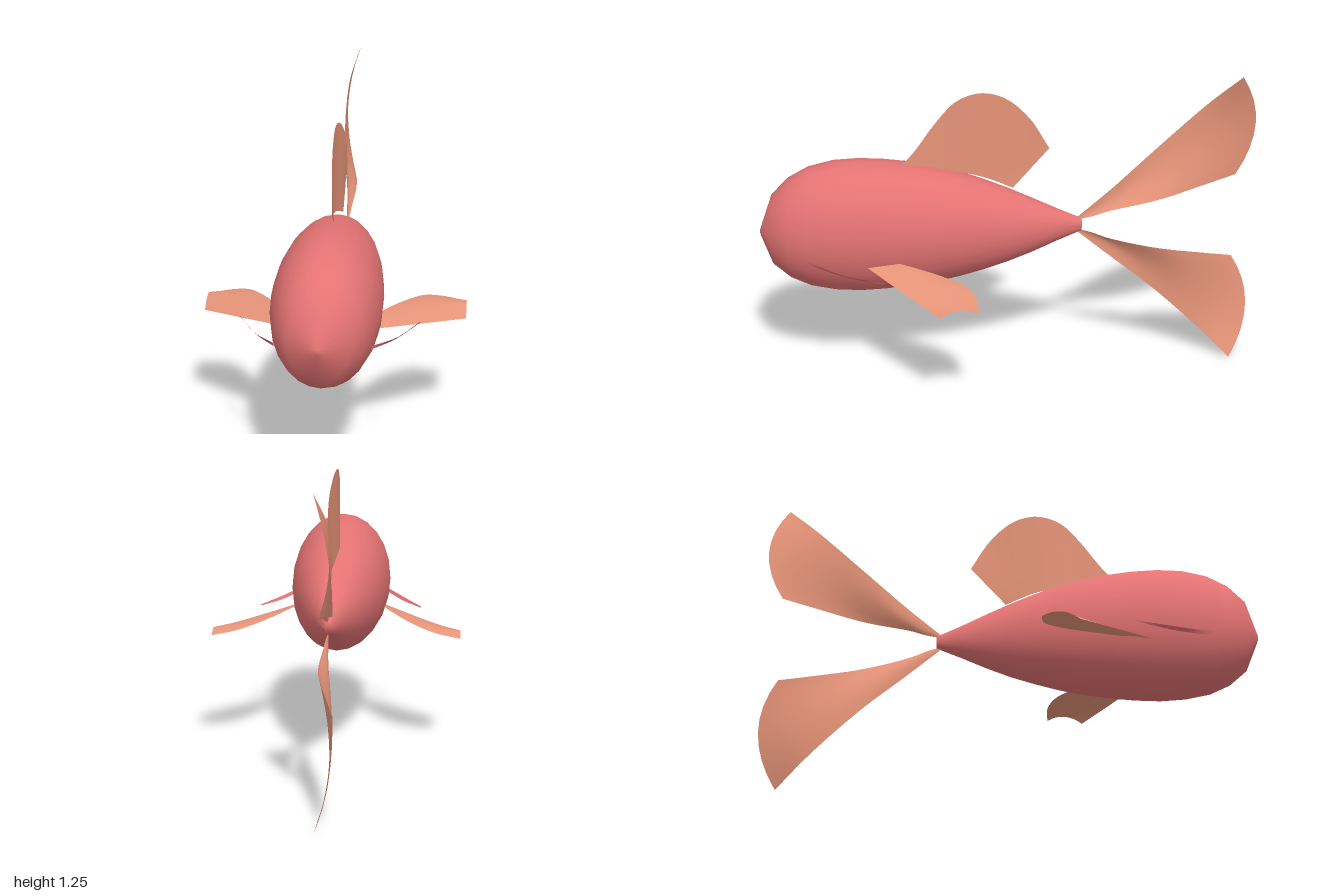
import * as THREE from 'three';

const V = (p) => new THREE.Vector3(...p);

// Thin surface stretched between two edge curves and bowed across its width
function sheet(edgeA, edgeB, bow, along = 24, across = 8) {
  const a = new THREE.CatmullRomCurve3(edgeA.map(V));
  const b = new THREE.CatmullRomCurve3(edgeB.map(V));
  const pos = [], idx = [];
  for (let i = 0; i <= along; i++) {
    const t = i / along, pa = a.getPoint(t), pb = b.getPoint(t);
    for (let j = 0; j <= across; j++) {
      const v = j / across, k = 4 * v * (1 - v) * t;
      const p = pa.clone().lerp(pb, v).addScaledVector(V(bow), k);
      pos.push(p.x, p.y, p.z);
      if (i < along && j < across) {
        const q = i * (across + 1) + j, r = q + across + 1;
        idx.push(q, r, q + 1, q + 1, r, r + 1);
      }
    }
  }
  return makeGeometry(pos, idx);
}

function makeGeometry(pos, idx) {
  const g = new THREE.BufferGeometry();
  g.setAttribute('position', new THREE.Float32BufferAttribute(pos, 3));
  g.setIndex(idx);
  g.computeVertexNormals();
  return g;
}

// Body from elliptical rings: z, centre height, half height, half width
function bodyGeometry() {
  const rings = [
    [1, 0.627, 0.01, 0.01], [0.95, 0.636, 0.145, 0.118], [0.88, 0.641, 0.21, 0.164],
    [0.8, 0.645, 0.25, 0.19], [0.7, 0.648, 0.272, 0.206], [0.6, 0.648, 0.278, 0.21],
    [0.5, 0.648, 0.273, 0.208], [0.4, 0.647, 0.262, 0.201], [0.3, 0.645, 0.245, 0.19],
    [0.2, 0.643, 0.222, 0.173], [0.1, 0.639, 0.191, 0.15], [0, 0.635, 0.155, 0.123],
    [-0.1, 0.632, 0.113, 0.09], [-0.2, 0.631, 0.068, 0.052], [-0.3, 0.63, 0.026, 0.016],
  ];
  const n = 24, pos = [], idx = [];
  rings.forEach(([z, cy, ry, rx], i) => {
    for (let j = 0; j < n; j++) {
      const t = (j / n) * Math.PI * 2;
      pos.push(Math.cos(t) * rx, cy + Math.sin(t) * ry, z);
      if (i < rings.length - 1) {
        const a = i * n + j, b = i * n + (j + 1) % n;
        idx.push(a, a + n, b, b, a + n, b + n);
      }
    }
  });
  // close nose and tail end
  const last = (rings.length - 1) * n;
  for (let j = 1; j < n - 1; j++) {
    idx.push(0, j, j + 1, last, last + j + 1, last + j);
  }
  return makeGeometry(pos, idx);
}

export function createModel() {
  const model = new THREE.Group();
  const skin = new THREE.MeshStandardMaterial({ color: 0xe57373, side: THREE.DoubleSide });
  skin.name = 'skin red';
  const fin = new THREE.MeshStandardMaterial({ color: 0xe9967a, side: THREE.DoubleSide });
  fin.name = 'fin salmon';
  const add = (name, geometry, material) => {
    const mesh = new THREE.Mesh(geometry, material);
    mesh.name = name;
    model.add(mesh);
  };

  add('body', bodyGeometry(), skin);

  // Wavy fin on the back
  add('dorsalFin', sheet(
    [[0.01, 0.91, 0.42], [0, 0.965, 0.37], [-0.01, 1.08, 0.285], [-0.012, 1.165, 0.205],
      [-0.01, 1.2, 0.107], [0, 1.18, 0.01], [0.012, 1.1, -0.085], [0.012, 0.97, -0.165]],
    [[0.01, 0.9, 0.42], [-0.008, 0.88, 0.3], [-0.015, 0.862, 0.19], [-0.008, 0.84, 0.09],
      [0.008, 0.8, -0.02]],
    [0, 0, 0]), fin);

  // Two twisted tail lobes, mirrored about the body axis
  for (const s of [1, -1]) {
    const m = ([x, y, z]) => [x, 0.63 + s * (y - 0.63), z];
    add(s > 0 ? 'upperTailFin' : 'lowerTailFin', sheet(
      [[0, 0.66, -0.28], [-0.008, 0.78, -0.42], [-0.035, 0.94, -0.6], [-0.03, 1.13, -0.8],
        [0.01, 1.255, -0.93]].map(m),
      [[0, 0.65, -0.28], [0.006, 0.665, -0.34], [0.012, 0.69, -0.41], [0.018, 0.735, -0.6],
        [-0.025, 0.782, -0.8], [-0.058, 0.812, -0.93]].map(m),
      [-0.025, 0, -0.07]), fin);
  }

  // Arched side fins and slim feelers on both sides
  for (const s of [1, -1]) {
    const side = s > 0 ? 'left' : 'right';
    const m = ([x, y, z]) => [s * x, y, z];
    add(side + 'SideFin', sheet(
      [[0.17, 0.548, 0.585], [0.34, 0.514, 0.44], [0.517, 0.478, 0.285]].map(m),
      [[0.17, 0.562, 0.48], [0.225, 0.553, 0.37], [0.285, 0.542, 0.265], [0.35, 0.53, 0.18],
        [0.42, 0.513, 0.142], [0.517, 0.493, 0.138]].map(m),
      [0, 0.026, 0]), fin);
    add(side + 'Feeler', sheet(
      [[0.18, 0.575, 0.81], [0.27, 0.555, 0.67], [0.347, 0.55, 0.5]].map(m),
      [[0.18, 0.56, 0.805], [0.263, 0.543, 0.66], [0.346, 0.545, 0.5]].map(m),
      [0, 0, 0], 16, 2), skin);
  }
  return model;
}
